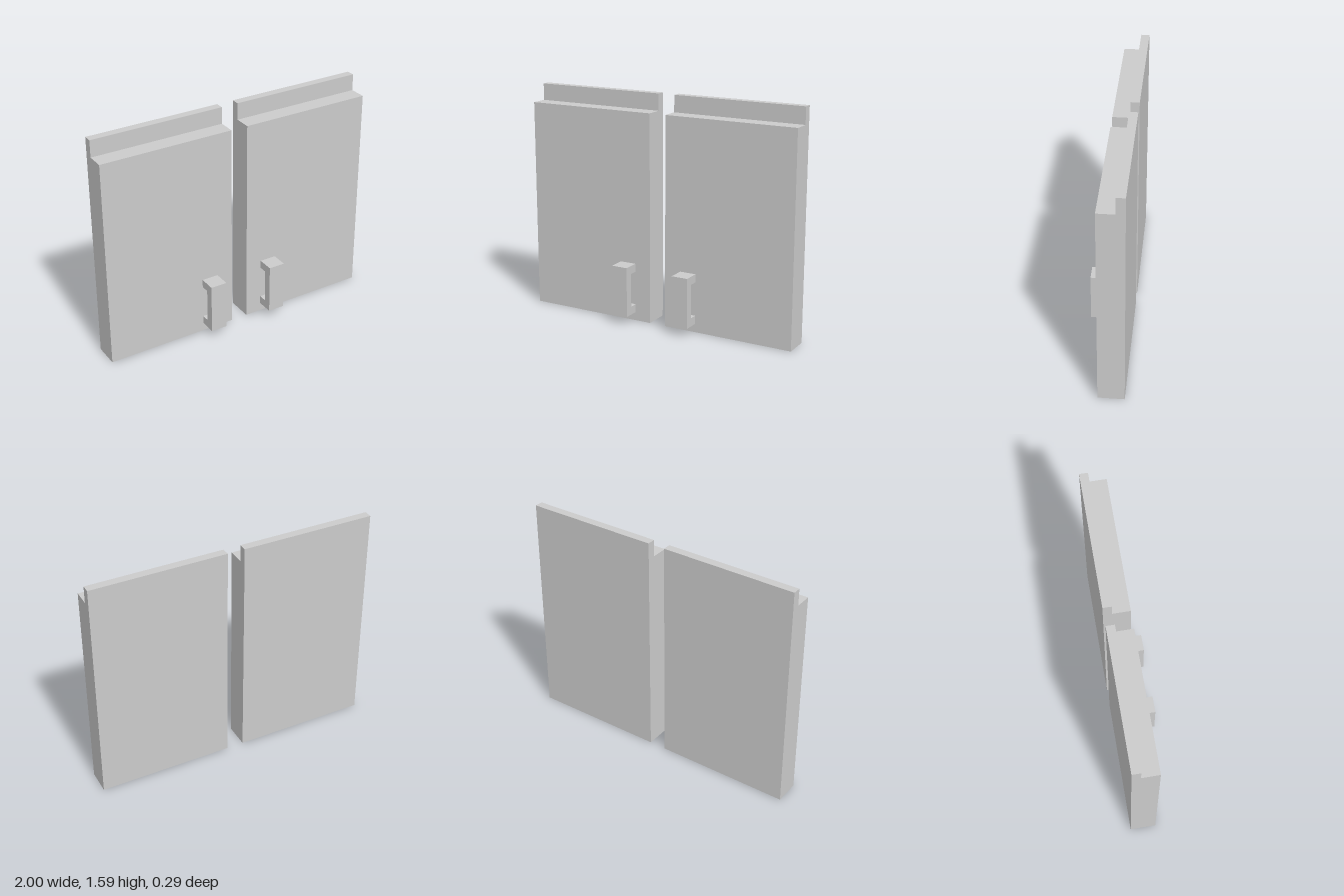
import * as THREE from 'three';

const material = new THREE.MeshStandardMaterial({ color: 0xcccccc, flatShading: true });

// Side profile given as [z, y] points, extruded across x and centred on it
function profilePart(name, points, width) {
  const shape = new THREE.Shape(points.map(([z, y]) => new THREE.Vector2(z, y)));
  const geometry = new THREE.ExtrudeGeometry(shape, { depth: width, bevelEnabled: false });
  geometry.translate(0, 0, -width / 2).rotateY(-Math.PI / 2);
  const mesh = new THREE.Mesh(geometry, material);
  mesh.name = name;
  return mesh;
}

// Panel with a rebated top edge
const panelProfile = [
  [-0.147, 0], [0.03, 0], [0.03, 1.473], [-0.089, 1.473], [-0.089, 1.59], [-0.147, 1.59],
];

// C-shaped pull handle
const handleProfile = [
  [0.03, 0.06], [0.147, 0.06], [0.147, 0.413], [0.03, 0.413],
  [0.03, 0.356], [0.089, 0.356], [0.089, 0.118], [0.03, 0.118],
];

export function createModel() {
  const model = new THREE.Group();
  model.name = 'cabinetDoors';

  // Mirrored pair of doors
  for (const [side, sign] of [['left', 1], ['right', -1]]) {
    const door = new THREE.Group();
    door.name = `${side}Door`;

    const panel = profilePart(`${side}Panel`, panelProfile, 0.94);
    panel.position.x = sign * 0.53;

    const handle = profilePart(`${side}Handle`, handleProfile, 0.117);
    handle.position.x = sign * 0.235;

    door.add(panel, handle);
    model.add(door);
  }
  return model;
}
